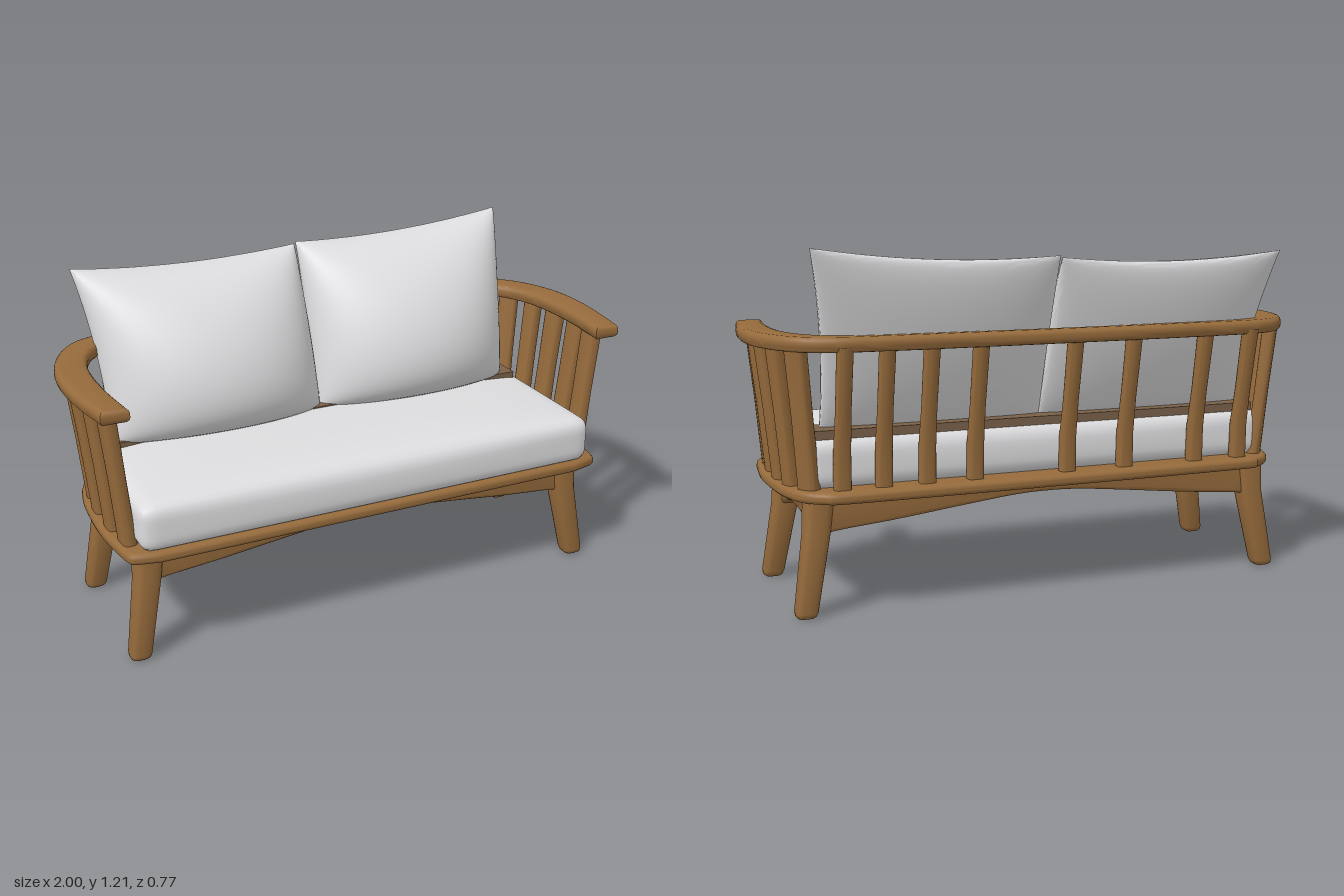
import * as THREE from 'three';
import { mergeVertices, toCreasedNormals } from 'three/addons/utils/BufferGeometryUtils.js';

const V2 = (p) => new THREE.Vector2(p[0], p[1]);

// Moves every vertex by a rule, then smooths the surface
function reshape(geo, rule, crease) {
  geo.deleteAttribute('uv');
  geo.deleteAttribute('normal');
  const pos = geo.attributes.position;
  const v = new THREE.Vector3();
  for (let i = 0; i < pos.count; i++) {
    rule(v.fromBufferAttribute(pos, i));
    pos.setXYZ(i, v.x, v.y, v.z);
  }
  const merged = mergeVertices(geo, 1e-4);
  merged.computeVertexNormals();
  return crease ? toCreasedNormals(merged, crease) : merged;
}

// Rounded-rectangle loft through sections [x, y, z, halfX, halfZ], turned about y
function loft(sections, turn = 0, sides = 20) {
  const pos = [], idx = [];
  const pow = (t) => Math.sign(t) * Math.abs(t) ** 0.6;
  const c = Math.cos(turn), s = Math.sin(turn);
  sections.forEach(([x, y, z, hx, hz], k) => {
    for (let i = 0; i < sides; i++) {
      const a = (i / sides) * Math.PI * 2;
      const px = hx * pow(Math.cos(a)), pz = hz * pow(Math.sin(a));
      pos.push(x + px * c + pz * s, y, z - px * s + pz * c);
      if (k === 0) continue;
      const j = (i + 1) % sides, lo = (k - 1) * sides, hi = k * sides;
      idx.push(lo + i, hi + i, lo + j, lo + j, hi + i, hi + j);
    }
  });
  const geo = new THREE.BufferGeometry();
  geo.setAttribute('position', new THREE.Float32BufferAttribute(pos, 3));
  geo.setIndex(idx);
  return toCreasedNormals(geo, 1.0);
}

// Extrusion with rounded edges that keeps its outline
function rounded(shape, thickness, bevel) {
  return new THREE.ExtrudeGeometry(shape, {
    depth: thickness - 2 * bevel, bevelEnabled: true, bevelThickness: bevel,
    bevelSize: bevel, bevelOffset: -bevel, bevelSegments: 3,
  });
}

// Horizontal slab drawn in x and z, between two heights
function slab(shape, y0, y1, bevel) {
  const geo = rounded(shape, y1 - y0, bevel);
  geo.rotateX(Math.PI / 2);
  geo.translate(0, y1 - bevel, 0);
  return toCreasedNormals(geo, 0.9);
}

// Samples a smooth curve through half an outline and its mirror image
function mirroredCurve(half, divisions = 80) {
  const other = half.slice(0, -1).reverse().map(([x, z]) => [-x, z]);
  return new THREE.SplineCurve([...half, ...other].map(V2)).getPoints(divisions);
}

export function createModel() {
  const group = new THREE.Group();
  const material = (name, color) => {
    const m = new THREE.MeshStandardMaterial({ color });
    m.name = name;
    return m;
  };
  const wood = material('oak wood', 0x966b3c);
  const darkWood = material('shaded brown', 0x7a6048);
  const fabric = material('light grey fabric', 0xdddddf);
  const add = (name, geo, mat = wood) => {
    const mesh = new THREE.Mesh(geo, mat);
    mesh.name = name;
    group.add(mesh);
    return mesh;
  };

  // Seat frame: rounded ring with a rectangular opening
  const side = [[0.88, 0.362], [0.905, 0.33], [0.928, 0.15], [0.928, 0],
    [0.915, -0.14], [0.88, -0.25], [0.81, -0.315], [0.7, -0.337], [0, -0.342]];
  const frame = new THREE.Shape([...mirroredCurve(side), V2([-0.8, 0.38]), V2([0.8, 0.38])]);
  frame.holes.push(new THREE.Path([[-0.79, -0.24], [-0.79, 0.27], [0.79, 0.27], [0.79, -0.24]].map(V2)));
  add('seatFrame', slab(frame, 0.385, 0.425, 0.017));

  // Long slats under the cushion
  for (let i = 0; i < 6; i++) {
    const geo = new THREE.BoxGeometry(1.5, 0.022, 0.08);
    add('seatSlat', geo.translate(0, 0.405, -0.2 + i * 0.086));
  }
  for (const x of [-0.5, 0.5]) {
    add('seatCrossBar', new THREE.BoxGeometry(0.05, 0.015, 0.52).translate(x, 0.412, 0.015));
  }

  // Splayed legs with rounded feet
  for (const sx of [-1, 1]) {
    for (const sz of [-1, 1]) {
      add(sz > 0 ? 'frontLeg' : 'backLeg', loft([
        [0.867, 0, 0.268, 0, 0], [0.867, 0, 0.268, 0.026, 0.026],
        [0.867, 0.006, 0.268, 0.034, 0.034], [0.865, 0.02, 0.267, 0.038, 0.038],
        [0.82, 0.28, 0.243, 0.045, 0.045], [0.81, 0.395, 0.24, 0.05, 0.048],
      ].map(([x, y, z, a, b]) => [x * sx, y, 0.02 + z * sz, a, b])));
    }
  }

  // Arched aprons between the legs
  const apron = (half) => {
    const end = half[0][0];
    const shape = new THREE.Shape([...mirroredCurve(half, 32), V2([-end, 0.395]), V2([end, 0.395])].reverse());
    return toCreasedNormals(rounded(shape, 0.05, 0.012).translate(0, 0, -0.013), 0.9);
  };
  const longArch = [[0.82, 0.262], [0.76, 0.28], [0.55, 0.3], [0.3, 0.329], [0.12, 0.348], [0, 0.352]];
  const shortArch = [[0.24, 0.262], [0.195, 0.282], [0.115, 0.31], [0, 0.318]];
  add('frontApron', apron(longArch)).position.z = 0.265;
  add('backApron', apron(longArch)).position.z = -0.225;
  for (const sx of [-1, 1]) {
    const mesh = add('sideApron', apron(shortArch));
    mesh.rotation.y = Math.PI / 2;
    mesh.position.set(sx * 0.815, 0, 0.018);
  }

  // Curved top rail: broad arms running into a slimmer back
  const outer = [[0.96, 0.352], [0.99, 0.17], [0.998, 0], [0.975, -0.14], [0.91, -0.27],
    [0.81, -0.345], [0.62, -0.372], [0, -0.382]];
  const inner = [[0.865, 0.352], [0.884, 0.17], [0.885, 0], [0.866, -0.12], [0.82, -0.215],
    [0.74, -0.28], [0.57, -0.31], [0, -0.322]];
  add('topRail', slab(new THREE.Shape([...mirroredCurve(outer), ...mirroredCurve(inner).reverse()]), 0.882, 0.932, 0.018));

  // Arm slats: [bottom x, bottom z, top x, top z, half width, turn]
  const armSlats = [
    [0.872, 0.252, 0.918, 0.252, 0.043, 0.08], [0.885, 0.13, 0.934, 0.137, 0.042, 0.03],
    [0.888, -0.008, 0.94, -0.012, 0.042, -0.03], [0.876, -0.128, 0.925, -0.142, 0.034, -0.25],
    [0.838, -0.222, 0.88, -0.25, 0.037, -0.7],
  ];
  for (const sx of [-1, 1]) {
    for (const [x0, z0, x1, z1, w, turn] of armSlats) {
      add('armSlat', loft([
        [sx * x0, 0.41, z0, 0.025, w], [sx * (x0 + x1) / 2, 0.66, (z0 + z1) / 2, 0.024, w * 0.95],
        [sx * x1, 0.9, z1, 0.026, w],
      ], -sx * turn));
    }
  }

  // Back spindles, upright low down and leaning back above
  for (const x of [0.74, 0.6, 0.45, 0.28, -0.06, -0.28, -0.56, -0.74]) {
    add('backSpindle', loft([
      [x, 0.41, -0.27, 0.029, 0.024], [x, 0.55, -0.275, 0.028, 0.023],
      [x, 0.68, -0.3, 0.025, 0.023], [x, 0.9, -0.342, 0.026, 0.026],
    ]));
  }

  // Seat cushion: rounded block with a softly crowned top
  const half = new THREE.Vector3(0.86, 0.085, 0.312), r = 0.045;
  const core = half.clone().subScalar(r), near = new THREE.Vector3();
  add('seatCushion', reshape(new THREE.BoxGeometry(1.72, 0.17, 0.624, 60, 10, 26), (v) => {
    near.copy(v).clamp(core.clone().negate(), core);
    v.sub(near).normalize().multiplyScalar(r).add(near);
    const u = v.x / half.x, w = v.z / half.z;
    if (v.y > 0) v.y += 0.024 * (1 - u ** 4) * (1 - w ** 4);
    v.z += 0.01 * w * (1 - (v.y / half.y) ** 2) * (1 - u * u);
    v.y += 0.503;
    v.z += 0.062;
  }), fabric);

  // Low ledge behind the pillows
  add('backLedge', new THREE.BoxGeometry(1.64, 0.03, 0.13).translate(0, 0.6, -0.165), darkWood);

  // Back pillows: corners [x, y] are lower left, lower right, upper left, upper right;
  // the outer edge is drawn in more than the one where the pillows meet
  const pillow = (bl, br, tl, tr, outerSide) => reshape(new THREE.BoxGeometry(2, 2, 2, 36, 36, 1), (p) => {
    const u = Math.sin(p.x * Math.PI / 2), v = Math.sin(p.y * Math.PI / 2), s = p.z;
    const a = (1 + u) / 2, b = (1 + v) / 2;
    const mix = (k) => (bl[k] * (1 - a) + br[k] * a) * (1 - b) + (tl[k] * (1 - a) + tr[k] * a) * b;
    const pinch = u * outerSide > 0 ? 0.022 : 0.004;
    const x = mix(0) - pinch * u * (1 - v * v);
    const y = mix(1) - 0.024 * b * (1 - u * u);
    const puff = Math.max(0, 1 - u * u) ** 0.5 * Math.max(0, 1 - v * v) ** 0.42;
    const plane = -0.145 - 0.21 * b;
    p.set(x, y, plane + puff * (s > 0 ? 0.262 : -0.06));
  }, 1.0);
  add('rightPillow', pillow([-0.795, 0.595], [0.004, 0.595], [-0.845, 1.178], [-0.002, 1.168], -1), fabric);
  add('leftPillow', pillow([-0.002, 0.595], [0.785, 0.595], [0.003, 1.175], [0.85, 1.213], 1), fabric);

  return group;
}
